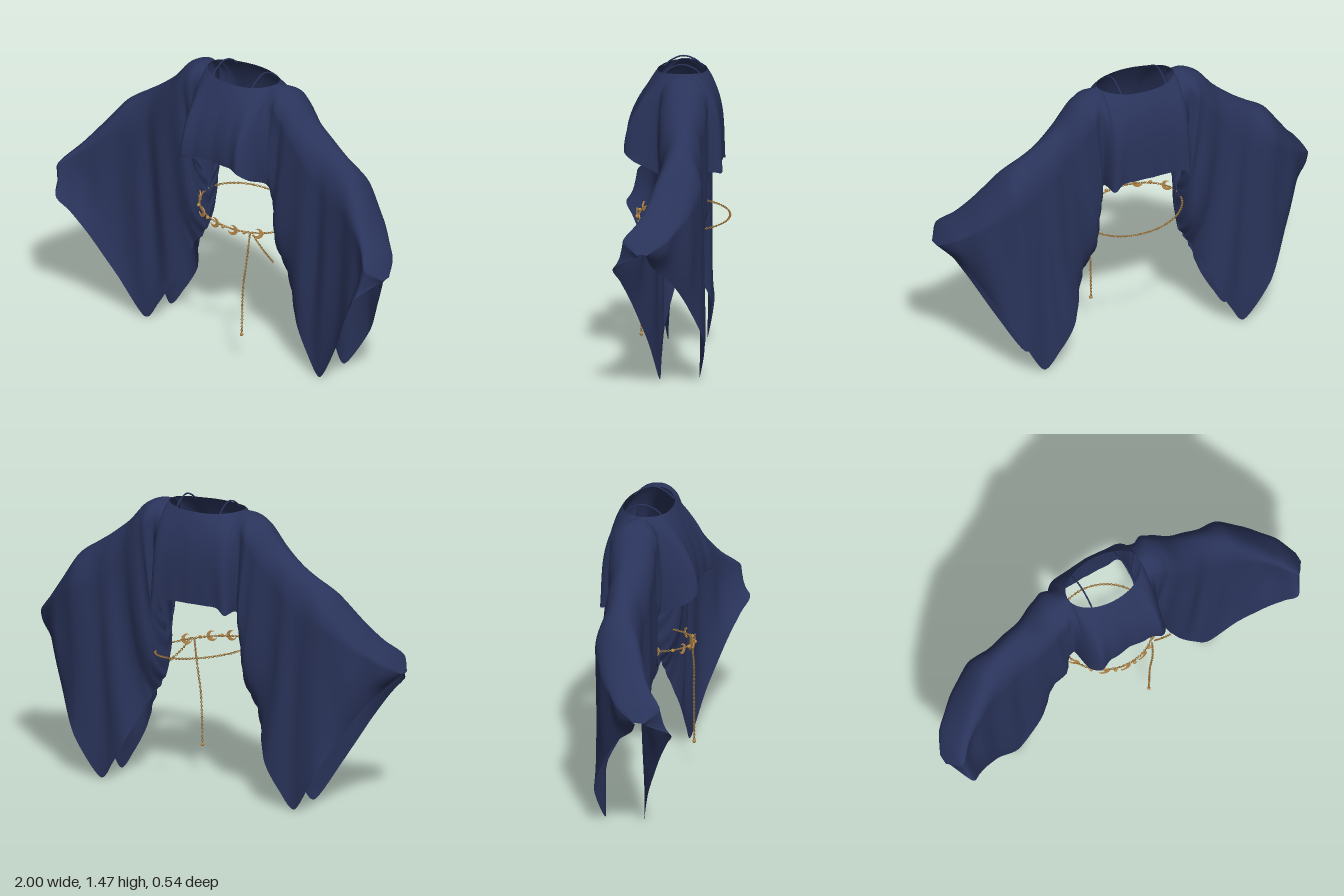
import * as THREE from 'three';
import { mergeGeometries } from 'three/addons/utils/BufferGeometryUtils.js';

const cloth = new THREE.MeshStandardMaterial({ name: 'navy cloth', color: 0x2a345b, side: THREE.DoubleSide });
const gold = new THREE.MeshStandardMaterial({ name: 'antique gold', color: 0xb8894a });
const bronze = new THREE.MeshStandardMaterial({ name: 'bronze chain', color: 0x9c763c });
const { lerp, smoothstep } = THREE.MathUtils;

function named(object, name) {
  object.name = name;
  return object;
}

// Stations from the centre to the cuff:
// top x y z, front wall z, back wall z, hem x y, hem front z, hem back z
const STATIONS = [
  [0, 1.42, -0.04, 0.13, -0.2, 0, 1.05, 0.205, -0.235],
  [0.09, 1.42, -0.04, 0.13, -0.2, 0.1, 1.05, 0.215, -0.23],
  [0.155, 1.425, -0.04, 0.13, -0.2, 0.165, 1.045, 0.235, -0.235],
  [0.2, 1.43, -0.04, 0.1, -0.19, 0.212, 1.0, 0.19, -0.22],
  [0.25, 1.427, -0.045, 0.07, -0.175, 0.218, 0.93, 0.05, -0.13],
  [0.295, 1.412, -0.05, 0.06, -0.17, 0.218, 0.75, -0.04, -0.05],
  [0.34, 1.382, -0.05, 0.06, -0.165, 0.23, 0.55, -0.04, -0.05],
  [0.41, 1.3, -0.055, 0.06, -0.15, 0.295, 0.43, -0.02, -0.06],
  [0.48, 1.24, -0.06, 0.05, -0.15, 0.38, 0.23, 0.03, -0.16],
  [0.54, 1.195, -0.058, 0.045, -0.15, 0.46, 0.09, 0.045, -0.155],
  [0.6, 1.155, -0.052, 0.05, -0.15, 0.54, 0.0, 0.05, -0.14],
  [0.7, 1.085, -0.03, 0.07, -0.16, 0.67, 0.2, 0.1, -0.17],
  [0.8, 0.955, 0.02, 0.11, -0.11, 0.78, 0.4, 0.17, -0.09],
  [0.88, 0.85, 0.07, 0.16, -0.06, 0.86, 0.535, 0.23, -0.01],
  [0.95, 0.77, 0.12, 0.21, 0, 0.92, 0.61, 0.26, 0.07],
  [1.0, 0.69, 0.12, 0.15, 0.09, 0.99, 0.68, 0.14, 0.1],
];
const track = (a, b, c) => new THREE.CatmullRomCurve3(
  STATIONS.map(s => new THREE.Vector3(s[a], s[b], s[c])), false, 'catmullrom', 0.4);
const topLine = track(0, 1, 2), walls = track(3, 4, 0), frontHem = track(5, 6, 7), backHem = track(5, 6, 8);

// Point on a cloth panel: u in 0..1 from centre to cuff, t in 0..1 from top to hem
function drape(u, t, front) {
  const i = u * (STATIONS.length - 1), dir = front ? 1 : -1;
  const top = topLine.getPoint(u), wall = walls.getPoint(u);
  const hem = (front ? frontHem : backHem).getPoint(u);
  const sleeve = smoothstep(i, 2, 5);
  if (!front) hem.y -= 0.07 * (1 - smoothstep(i, 2.5, 4));
  // oval neckline
  top.z += dir * 0.12 * Math.sqrt(Math.max(0, 1 - (top.x / 0.2) ** 2));
  // bodice falls as a tent, the sleeve rounds over the arm, hangs straight and tucks into its seam
  const tent = lerp(top.z, hem.z, 1 - (1 - t) ** (front ? 2 : 4));
  const k = Math.min(1, t / 0.18);
  let hang = lerp(top.z, front ? wall.x : wall.y, Math.sqrt(k * (2 - k)));
  hang = lerp(hang, hem.z, t ** lerp(10, 4, smoothstep(i, 6, 8)));
  // broad hanging folds and a ruffled inner seam
  const amp = lerp(0.008 * t, 0.012 * Math.min(1, t * 2), sleeve);
  const fold = amp * (Math.sin(i * 3.3 + (front ? 0.4 : 2)) * 0.7 + Math.sin(i * 1.9) * 0.4) * smoothstep(i, 0, 1);
  const ruffle = 0.006 * t ** 6 * Math.sin(i * 13) * smoothstep(i, 4, 4.6) * (1 - smoothstep(i, 7, 8));
  return [lerp(top.x, hem.x, t ** 1.4) + ruffle, lerp(top.y, hem.y, t),
    lerp(tent, hang, sleeve) + fold * (1 - 0.9 * t ** 10 * sleeve)];
}

// Whole front or back panel, cuff to cuff, mirrored about the centre
function panel(name, front) {
  const nu = 300, nv = 56, pos = [], idx = [];
  for (let j = 0; j <= nv; j++) {
    for (let i = 0; i <= nu; i++) {
      const s = i / nu * 2 - 1;
      const [x, y, z] = drape(Math.abs(s), (j / nv) ** 2, front);
      pos.push(s < 0 ? -x : x, y, z);
      if (i < nu && j < nv) {
        const a = j * (nu + 1) + i, b = a + nu + 1;
        if (front) idx.push(a, b, a + 1, b, b + 1, a + 1);
        else idx.push(a, a + 1, b, b, a + 1, b + 1);
      }
    }
  }
  const g = new THREE.BufferGeometry();
  g.setAttribute('position', new THREE.Float32BufferAttribute(pos, 3));
  g.setIndex(idx);
  g.computeVertexNormals();
  return named(new THREE.Mesh(g, cloth), name);
}

const smooth = (pts, closed = false) =>
  new THREE.CatmullRomCurve3(pts.map(p => new THREE.Vector3(...p)), closed);

// Chain of small links, alternately turned, along a curve
function chain(name, curve) {
  const n = Math.round(curve.getLength() / 0.0095), links = [], dummy = new THREE.Object3D();
  for (let i = 0; i <= n; i++) {
    const u = i / n, p = curve.getPointAt(u);
    dummy.position.copy(p);
    dummy.lookAt(p.clone().add(curve.getTangentAt(u)));
    dummy.rotateZ(i % 2 ? Math.PI / 2 : 0);
    dummy.rotateY(Math.PI / 2);
    dummy.updateMatrix();
    links.push(new THREE.TorusGeometry(0.0045, 0.002, 5, 10).applyMatrix4(dummy.matrix));
  }
  return named(new THREE.Mesh(mergeGeometries(links), bronze), name);
}

// Crescent charm outline
function crescentGeometry() {
  const shape = new THREE.Shape();
  shape.absarc(0, 0, 0.026, 0.7, Math.PI * 2 - 0.7, false);
  shape.absarc(0.0108, 0, 0.019, -1.074, 1.074, true);
  const g = new THREE.ExtrudeGeometry(shape, { depth: 0.005, bevelEnabled: false, curveSegments: 14 });
  return g.translate(0, 0, -0.0025);
}

function belt() {
  const group = named(new THREE.Group(), 'chainBelt');
  const at = a => {
    const x = 0.015 + 0.24 * Math.cos(a);
    return [x, 0.71 - 0.14 * x, -0.05 + 0.22 * Math.sin(a)];
  };
  const ring = Array.from({ length: 24 }, (_, i) => at(i / 24 * Math.PI * 2));
  group.add(chain('beltLoop', smooth(ring, true)));
  group.add(chain('hangingStrand', smooth([[0.172, 0.68, 0.13], [0.166, 0.55, 0.145], [0.147, 0.4, 0.15], [0.14, 0.15, 0.153]])));
  group.add(chain('beltTail', smooth([[0.19, 0.68, 0.125], [0.23, 0.625, 0.115], [0.29, 0.56, 0.1]])));

  // crescents with beads between them across the front
  const moon = crescentGeometry(), bead = new THREE.SphereGeometry(0.009, 10, 8);
  for (let i = 0; i < 9; i++) {
    const a = Math.acos((-0.225 + i * 0.051) / 0.24);
    const charm = named(new THREE.Mesh(i % 2 ? bead : moon, gold), i % 2 ? 'bead' : 'crescentCharm');
    charm.position.set(...at(a));
    charm.position.z += 0.009;
    charm.rotation.set(0, (Math.PI / 2 - a) * 0.6, i % 2 ? 0 : 2.7);
    group.add(charm);
  }
  const endBead = named(new THREE.Mesh(bead, gold), 'strandBead');
  endBead.position.set(0.14, 0.147, 0.153);
  group.add(endBead);
  return group;
}

export function createModel() {
  const model = named(new THREE.Group(), 'drapedTop');
  model.add(panel('frontPanel', true), panel('backPanel', false), belt());
  // thin straps arching over the neckline
  for (const x of [0.12, -0.12]) {
    const arc = smooth([[x, 1.41, 0.055], [x, 1.443, 0.015], [x, 1.462, -0.04], [x, 1.443, -0.1], [x, 1.41, -0.138]]);
    model.add(named(new THREE.Mesh(new THREE.TubeGeometry(arc, 24, 0.004, 6), cloth), x > 0 ? 'leftStrap' : 'rightStrap'));
  }
  return model;
}
